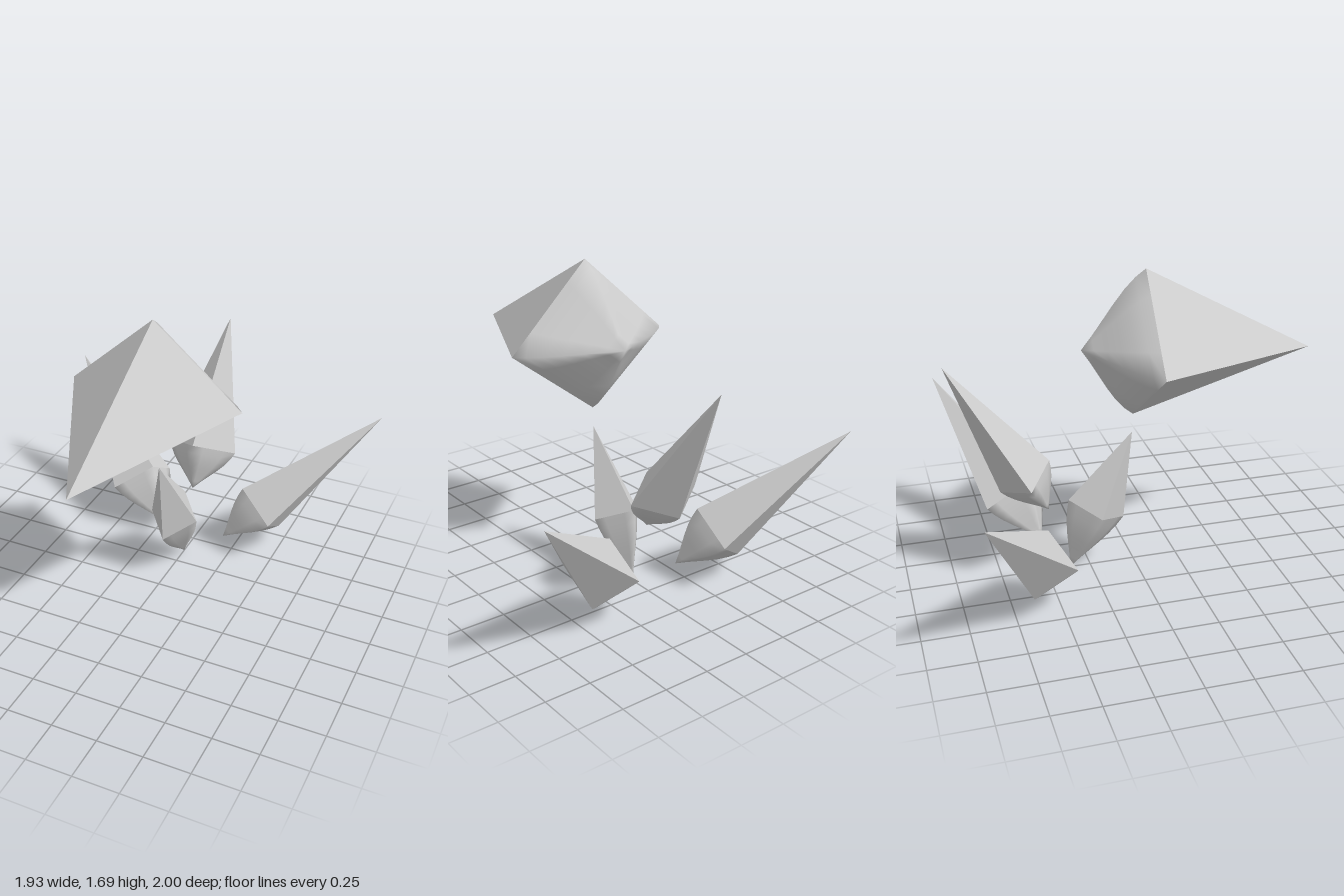
import * as THREE from 'three';

const material = new THREE.MeshStandardMaterial({ color: 0xcccccc });
const flatMaterial = new THREE.MeshStandardMaterial({ color: 0xcccccc, flatShading: true });
const vec = (p) => new THREE.Vector3(...p);

// Faceted point: one flat triangle from the tip to each side of the ring.
function pointGeometry(tip, ring) {
  const positions = ring.flatMap((c, i) => [...tip, ...c, ...ring[(i + 1) % ring.length]]);
  const geometry = new THREE.BufferGeometry();
  geometry.setAttribute('position', new THREE.Float32BufferAttribute(positions, 3));
  geometry.computeVertexNormals();
  return geometry;
}

// Smooth butt: loops shrinking from the ring to the end, swelling slightly on the way.
function buttGeometry(end, ring, swell = 0.16, loops = 6, split = 4) {
  const corners = ring.map(vec);
  const apex = vec(end);
  const centre = corners.reduce((s, c) => s.add(c), new THREE.Vector3()).divideScalar(corners.length);
  const n = corners.length * split;
  const positions = [];
  const index = [];
  for (let j = 0; j < loops; j++) {
    const t = j / loops;
    const axis = centre.clone().lerp(apex, t);
    for (let i = 0; i < n; i++) {
      const k = Math.floor(i / split);
      const p = corners[k].clone().lerp(corners[(k + 1) % corners.length], (i % split) / split);
      p.lerp(apex, t).sub(axis).multiplyScalar(1 + swell * Math.sin(Math.PI * t)).add(axis);
      positions.push(p.x, p.y, p.z);
      const a = j * n + i;
      const b = j * n + ((i + 1) % n);
      if (j < loops - 1) index.push(a, a + n, b, b, a + n, b + n);
      else index.push(a, loops * n, b);
    }
  }
  positions.push(...end);
  const geometry = new THREE.BufferGeometry();
  geometry.setAttribute('position', new THREE.Float32BufferAttribute(positions, 3));
  geometry.setIndex(index);
  geometry.computeVertexNormals();
  return geometry;
}

// A shard is a point and a butt on one ring, listed anticlockwise seen from the tip.
function shard(name, { tip, ring, end }) {
  const group = new THREE.Group();
  group.name = name;
  const point = new THREE.Mesh(pointGeometry(tip, ring), flatMaterial);
  point.name = name + 'Point';
  const butt = new THREE.Mesh(buttGeometry(end, ring), material);
  butt.name = name + 'Butt';
  group.add(point, butt);
  return group;
}

const flip = ([x, y, z]) => [-x, y, z];
const mirrored = ({ tip, ring, end }) => ({
  tip: flip(tip), ring: ring.map(flip).reverse(), end: flip(end),
});

export function createModel() {
  const model = new THREE.Group();
  model.name = 'shardCluster';

  // Large head pointing forward
  model.add(shard('head', {
    tip: [0, 1.175, 1],
    ring: [[0, 1.69, 0.07], [-0.48, 1.255, 0.035], [0, 0.89, 0], [0.48, 1.255, 0.035]],
    end: [0, 1.28, -0.28],
  }));

  // Upright shard below the head
  model.add(shard('frontShard', {
    tip: [0, 0.785, -0.005],
    ring: [[0, 0.275, -0.055], [0.14, 0.345, -0.21], [0, 0.42, -0.365], [-0.14, 0.345, -0.21]],
    end: [0, 0, -0.365],
  }));

  // Tall shard leaning backward
  model.add(shard('backShard', {
    tip: [0, 1.26, -1],
    ring: [[0, 0.675, -0.465], [0.21, 0.6, -0.605], [0, 0.52, -0.735], [-0.21, 0.6, -0.605]],
    end: [0, 0.38, -0.475],
  }));

  // Pair of shards spreading outward
  const side = {
    tip: [0.965, 0.835, -0.962],
    ring: [[0.495, 0.275, -0.43], [0.487, 0.135, -0.66], [0.283, 0.275, -0.772], [0.29, 0.415, -0.54]],
    end: [0.2, 0.09, -0.48],
  };
  model.add(shard('leftShard', side), shard('rightShard', mirrored(side)));

  return model;
}
